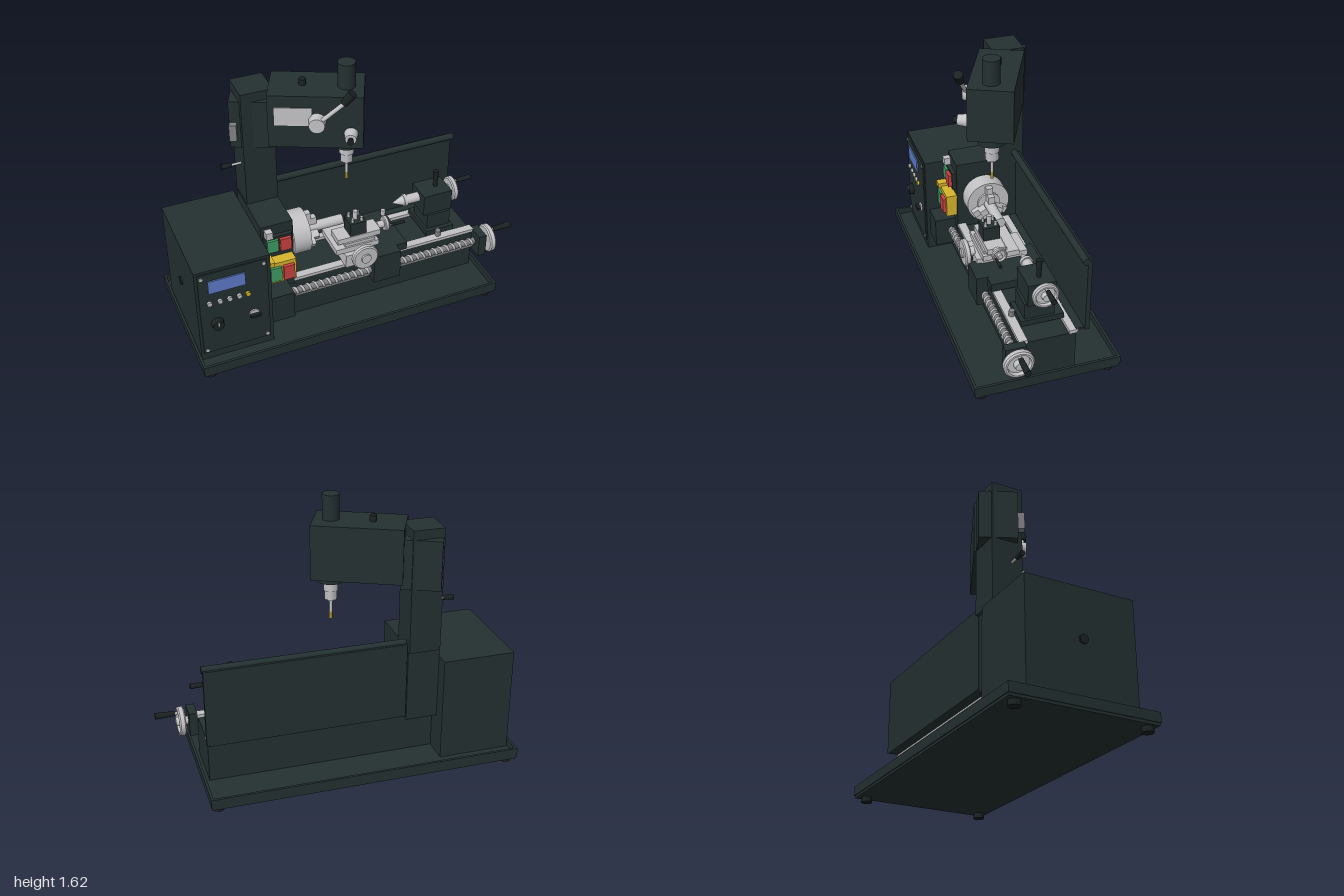
import * as THREE from 'three';

const mat = (name, color) => Object.assign(new THREE.MeshStandardMaterial({ color }), { name });
const M = {
  body: mat('dark green body', 0x243031),
  black: mat('black grip', 0x1b2122),
  steel: mat('bright steel', 0xc3c3c6),
  grey: mat('grey steel', 0x7f8082),
  yellow: mat('yellow', 0xd6b52c),
  gold: mat('cutter gold', 0xa88c2c),
  green: mat('green', 0x3f9e64),
  red: mat('red', 0xcc4343),
  blue: mat('display blue', 0x5f7ccc),
};

export function createModel() {
  const model = new THREE.Group();
  model.name = 'millingLathe';
  const group = (name, parent = model) => {
    const g = new THREE.Group();
    g.name = name;
    parent.add(g);
    return g;
  };
  const add = (parent, name, geo, m) => {
    const mesh = new THREE.Mesh(geo, m);
    mesh.name = name;
    parent.add(mesh);
    return mesh;
  };
  // Box given by its limits on each axis
  const box = (p, name, m, x0, x1, y0, y1, z0, z1) => {
    const b = add(p, name, new THREE.BoxGeometry(x1 - x0, y1 - y0, z1 - z0), m);
    b.position.set((x0 + x1) / 2, (y0 + y1) / 2, (z0 + z1) / 2);
    return b;
  };
  // Cylinder between two points
  const rod = (p, name, m, a, b, r0, r1 = r0, sides = 24) => {
    const s = new THREE.Vector3(...a), e = new THREE.Vector3(...b), d = e.clone().sub(s);
    const c = add(p, name, new THREE.CylinderGeometry(r1, r0, d.length(), sides), m);
    c.position.copy(s).add(e).multiplyScalar(0.5);
    c.quaternion.setFromUnitVectors(new THREE.Vector3(0, 1, 0), d.normalize());
    return c;
  };
  // Handwheel facing local +y: dished disc, hub and crank grip
  const handwheel = (name, r, depth, grip) => {
    const g = group(name);
    const pts = [[0, 0], [r * 0.9, 0], [r, depth * 0.2], [r, depth * 0.8], [r * 0.9, depth], [r * 0.78, depth],
      [r * 0.72, depth * 0.5], [r * 0.34, depth * 0.5], [r * 0.3, depth * 1.3], [0, depth * 1.3]];
    const geo = new THREE.LatheGeometry(pts.map(q => new THREE.Vector2(...q)), 32).toNonIndexed();
    geo.computeVertexNormals();
    add(g, 'wheel', geo, M.steel);
    rod(g, 'gripPin', M.steel, [0, depth * 0.5, r * 0.65], [0, depth + 0.02, r * 0.65], r * 0.1);
    rod(g, 'grip', M.black, [0, depth + 0.015, r * 0.65], [0, depth + grip, r * 0.65], r * 0.17, r * 0.22);
    return g;
  };

  // Chip tray with rim and feet
  const tray = group('tray');
  box(tray, 'trayFloor', M.body, -0.995, 0.835, 0.03, 0.06, -0.425, 0.415);
  box(tray, 'rimFront', M.body, -1, 0.84, 0.045, 0.1, 0.405, 0.42);
  box(tray, 'rimBack', M.body, -1, 0.84, 0.045, 0.1, -0.43, -0.415);
  box(tray, 'rimLeft', M.body, 0.825, 0.84, 0.045, 0.1, -0.415, 0.405);
  box(tray, 'rimRight', M.body, -1, -0.985, 0.045, 0.1, -0.415, 0.405);
  for (const x of [-0.95, 0.79]) for (const z of [-0.37, 0.37])
    rod(tray, 'foot', M.black, [x, 0, z], [x, 0.035, z], 0.032);

  // Electrical cabinet with control panel
  const cab = group('cabinet');
  box(cab, 'cabinetBody', M.body, -0.98, -0.55, 0.06, 0.69, -0.325, 0.31);
  box(cab, 'controlPanel', M.body, -0.965, -0.57, 0.11, 0.675, 0.31, 0.318);
  for (const x of [-0.945, -0.59]) for (const y of [0.13, 0.65])
    rod(cab, 'screw', M.steel, [x, y, 0.315], [x, y, 0.323], 0.01, 0.01, 12);
  box(cab, 'display', M.blue, -0.91, -0.7, 0.54, 0.625, 0.318, 0.326);
  [-0.91, -0.85, -0.795, -0.74, -0.69].forEach((x, i) =>
    rod(cab, 'button', i === 4 ? M.yellow : M.steel, [x, 0.47, 0.315], [x, 0.47, 0.332], 0.014));
  rod(cab, 'speedKnob', M.black, [-0.875, 0.315, 0.315], [-0.875, 0.315, 0.35], 0.037, 0.032);
  box(cab, 'knobMark', M.steel, -0.878, -0.872, 0.315, 0.345, 0.35, 0.353);
  rod(cab, 'selectorDial', M.steel, [-0.66, 0.31, 0.315], [-0.66, 0.31, 0.327], 0.03);
  box(cab, 'selectorHandle', M.black, -0.69, -0.63, 0.303, 0.317, 0.327, 0.35);
  rod(cab, 'sideButton', M.black, [-0.98, 0.405, 0], [-0.99, 0.405, 0], 0.025);

  // Headstock housing with switches
  const stock = group('headstock');
  box(stock, 'headstockBody', M.body, -0.55, -0.36, 0.3, 0.76, -0.24, 0.16);
  box(stock, 'upperSwitch', M.body, -0.54, -0.375, 0.585, 0.695, 0.16, 0.185);
  box(stock, 'indicator', M.steel, -0.53, -0.49, 0.695, 0.74, 0.16, 0.2);
  box(stock, 'lowerSwitchBox', M.yellow, -0.545, -0.37, 0.4, 0.54, 0.16, 0.225);
  box(stock, 'switchLid', M.yellow, -0.55, -0.5, 0.53, 0.56, 0.16, 0.24);
  for (const [y0, y1, z] of [[0.6, 0.68, 0.185], [0.42, 0.515, 0.225]]) {
    box(stock, 'startButton', M.green, -0.525, -0.46, y0, y1, z, z + 0.015);
    box(stock, 'stopButton', M.red, -0.45, -0.385, y0, y1, z, z + 0.02);
  }

  // Chuck, jaws and workpiece
  const chuck = group('chuck');
  rod(chuck, 'backPlate', M.grey, [-0.36, 0.545, 0], [-0.34, 0.545, 0], 0.1, 0.1, 40);
  rod(chuck, 'chuckBody', M.steel, [-0.34, 0.545, 0], [-0.235, 0.545, 0], 0.13, 0.13, 48);
  rod(chuck, 'chuckFace', M.steel, [-0.235, 0.545, 0], [-0.22, 0.545, 0], 0.07, 0.07, 32);
  for (let i = 0; i < 3; i++) {
    const jaw = group('jaw', chuck);
    jaw.position.y = 0.545;
    jaw.rotation.x = (i * Math.PI * 2) / 3;
    box(jaw, 'jawLow', M.steel, -0.24, -0.2, 0.03, 0.115, -0.02, 0.02);
    box(jaw, 'jawHigh', M.steel, -0.2, -0.165, 0.03, 0.075, -0.02, 0.02);
  }
  rod(chuck, 'workpiece', M.steel, [-0.23, 0.545, 0], [0, 0.545, 0], 0.031);

  // Bed with rails, rack and lead screw
  const bed = group('bed');
  box(bed, 'bedBody', M.body, -0.55, 0.8, 0.06, 0.315, -0.17, 0.15);
  for (const [z0, z1] of [[-0.18, -0.13], [0.11, 0.16]])
    box(bed, 'rail', M.steel, -0.36, 0.805, 0.315, 0.335, z0, z1);
  box(bed, 'rack', M.grey, -0.36, 0.8, 0.205, 0.24, 0.15, 0.17);
  rod(bed, 'leadScrewCore', M.grey, [-0.41, 0.265, 0.185], [0.81, 0.265, 0.185], 0.02);
  const turns = 30;
  const helix = Array.from({ length: turns * 8 + 1 }, (_, i) => new THREE.Vector3(
    -0.41 + (1.22 * i) / (turns * 8), 0.265 + 0.018 * Math.cos((i * Math.PI) / 4), 0.185 + 0.018 * Math.sin((i * Math.PI) / 4)));
  add(bed, 'leadScrewThread', new THREE.TubeGeometry(new THREE.CatmullRomCurve3(helix), turns * 12, 0.009, 5), M.steel);
  box(bed, 'gearBracket', M.body, -0.55, -0.41, 0.17, 0.35, 0.14, 0.29);
  box(bed, 'endBracket', M.body, 0.8, 0.85, 0.19, 0.335, 0.13, 0.25);
  rod(bed, 'screwEnd', M.steel, [0.85, 0.265, 0.19], [0.87, 0.265, 0.19], 0.025);
  const screwWheel = handwheel('leadScrewWheel', 0.087, 0.04, 0.13);
  screwWheel.position.set(0.87, 0.265, 0.19);
  screwWheel.rotation.set(-Math.PI / 2, 0, -Math.PI / 2);

  // Splash guard
  const guard = group('splashGuard');
  box(guard, 'guardWall', M.body, -0.355, 0.815, 0.33, 0.79, -0.24, -0.215);
  box(guard, 'guardFlange', M.body, -0.355, 0.8, 0.325, 0.338, -0.24, -0.17);
  rod(guard, 'guardRoll', M.body, [-0.355, 0.79, -0.205], [0.82, 0.79, -0.205], 0.02);

  // Carriage, cross slide and tool post
  const car = group('carriage');
  box(car, 'saddle', M.body, 0.04, 0.35, 0.335, 0.385, -0.18, 0.17);
  box(car, 'apron', M.body, 0.11, 0.28, 0.2, 0.39, 0.16, 0.235);
  rod(car, 'saddleLock', M.steel, [0.33, 0.385, -0.13], [0.33, 0.42, -0.13], 0.015, 0.015, 6);
  box(car, 'crossSlideBase', M.steel, -0.05, 0.14, 0.335, 0.42, -0.12, 0.19);
  box(car, 'crossSlide', M.steel, -0.1, 0.17, 0.42, 0.455, -0.06, 0.16);
  box(car, 'compoundBase', M.steel, -0.04, 0.15, 0.455, 0.475, 0.01, 0.15);
  box(car, 'compoundSlide', M.steel, -0.08, 0.19, 0.475, 0.51, 0.03, 0.14);
  box(car, 'toolPost', M.body, 0, 0.1, 0.51, 0.595, 0.035, 0.135);
  for (const x of [0.022, 0.078]) for (const z of [0.055, 0.115])
    rod(car, 'toolBolt', M.steel, [x, 0.595, z], [x, 0.62, z], 0.009, 0.009, 8);
  rod(car, 'toolPostClamp', M.steel, [0.05, 0.595, 0.085], [0.05, 0.65, 0.085], 0.014);
  rod(car, 'crossScrew', M.steel, [0.05, 0.42, 0.18], [0.05, 0.42, 0.26], 0.03);
  const crossWheel = handwheel('crossSlideWheel', 0.08, 0.035, 0.13);
  crossWheel.position.set(0.05, 0.42, 0.25);
  crossWheel.rotation.set(Math.PI / 2, Math.PI, 0, 'YXZ');
  crossWheel.rotation.set(Math.PI / 2, Math.PI, 0);
  rod(car, 'compoundScrew', M.steel, [0.19, 0.5, 0.085], [0.235, 0.5, 0.085], 0.022);
  const compoundWheel = handwheel('compoundWheel', 0.045, 0.025, 0.1);
  compoundWheel.position.set(0.23, 0.5, 0.085);
  compoundWheel.rotation.set(0, 0, -Math.PI / 2);

  // Tailstock
  const tail = group('tailstock');
  box(tail, 'tailBase', M.body, 0.51, 0.69, 0.335, 0.37, -0.14, 0.11);
  box(tail, 'tailWaist', M.body, 0.525, 0.675, 0.37, 0.47, -0.09, 0.085);
  box(tail, 'tailBody', M.body, 0.505, 0.69, 0.465, 0.6, -0.09, 0.07);
  rod(tail, 'quill', M.steel, [0.41, 0.55, -0.015], [0.505, 0.55, -0.015], 0.03);
  rod(tail, 'collar', M.steel, [0.405, 0.55, -0.015], [0.425, 0.55, -0.015], 0.037);
  rod(tail, 'liveCentre', M.steel, [0.41, 0.55, -0.015], [0.335, 0.55, -0.015], 0.033, 0.002);
  rod(tail, 'quillLock', M.black, [0.62, 0.6, -0.015], [0.62, 0.71, -0.015], 0.012, 0.018);
  rod(tail, 'clampBolt', M.grey, [0.58, 0.31, 0.125], [0.58, 0.37, 0.125], 0.018, 0.018, 6);
  rod(tail, 'tailScrew', M.steel, [0.69, 0.55, -0.015], [0.72, 0.55, -0.015], 0.03);
  const tailWheel = handwheel('tailstockWheel', 0.075, 0.035, 0.11);
  tailWheel.position.set(0.71, 0.55, -0.015);
  tailWheel.rotation.set(-Math.PI / 2, 0, -Math.PI / 2);

  // Milling column with lock handle
  const column = group('column');
  box(column, 'columnPost', M.body, -0.545, -0.36, 0.74, 1.475, -0.26, -0.075);
  rod(column, 'lockRod', M.steel, [-0.54, 1.005, -0.14], [-0.61, 1.005, -0.14], 0.007);
  rod(column, 'lockGrip', M.black, [-0.6, 1.005, -0.14], [-0.66, 1.005, -0.14], 0.012, 0.016);

  // Milling head, swung about the vertical
  const head = group('millingHead');
  head.position.set(-0.134, 0, -0.02);
  head.rotation.y = -0.441;
  box(head, 'headBody', M.body, -0.257, 0.257, 1.16, 1.48, -0.13, 0.13);
  box(head, 'slideBlock', M.body, -0.467, -0.24, 1.13, 1.42, -0.115, 0.1);
  box(head, 'junctionBox', M.grey, -0.465, -0.425, 1.19, 1.29, 0.1, 0.135);
  box(head, 'dataPlate', M.steel, -0.22, -0.02, 1.3, 1.41, 0.13, 0.135);
  rod(head, 'feedHub', M.steel, [0.01, 1.33, 0.13], [0.01, 1.33, 0.185], 0.048, 0.043);
  rod(head, 'feedLever', M.steel, [0.01, 1.33, 0.165], [0.175, 1.49, 0.178], 0.012);
  rod(head, 'feedGrip', M.black, [0.155, 1.472, 0.176], [0.2, 1.535, 0.18], 0.022, 0.027);
  rod(head, 'fineFeedHub', M.steel, [0.19, 1.255, 0.13], [0.19, 1.255, 0.19], 0.038, 0.03);
  rod(head, 'fineFeedKnob', M.black, [0.19, 1.255, 0.19], [0.19, 1.255, 0.215], 0.014, 0.018);
  rod(head, 'topPlug', M.black, [-0.075, 1.48, 0], [-0.075, 1.515, 0], 0.02);

  // Spindle stack: name, material, bottom, top, radius, sides
  for (const [name, m, y0, y1, r, n] of [
    ['drawbarCover', M.body, 1.47, 1.625, 0.049, 32],
    ['spindleCollar', M.body, 1.115, 1.165, 0.08, 32],
    ['spindleNose', M.steel, 1.055, 1.115, 0.042, 32],
    ['colletNut', M.steel, 1, 1.055, 0.039, 6],
    ['collet', M.steel, 0.985, 1, 0.016, 16],
    ['toolShank', M.steel, 0.92, 0.99, 0.009, 16],
    ['endMill', M.gold, 0.875, 0.92, 0.0095, 12],
  ]) rod(head, name, m, [0.161, y0, 0.005], [0.161, y1, 0.005], r, r, n);

  return model;
}
